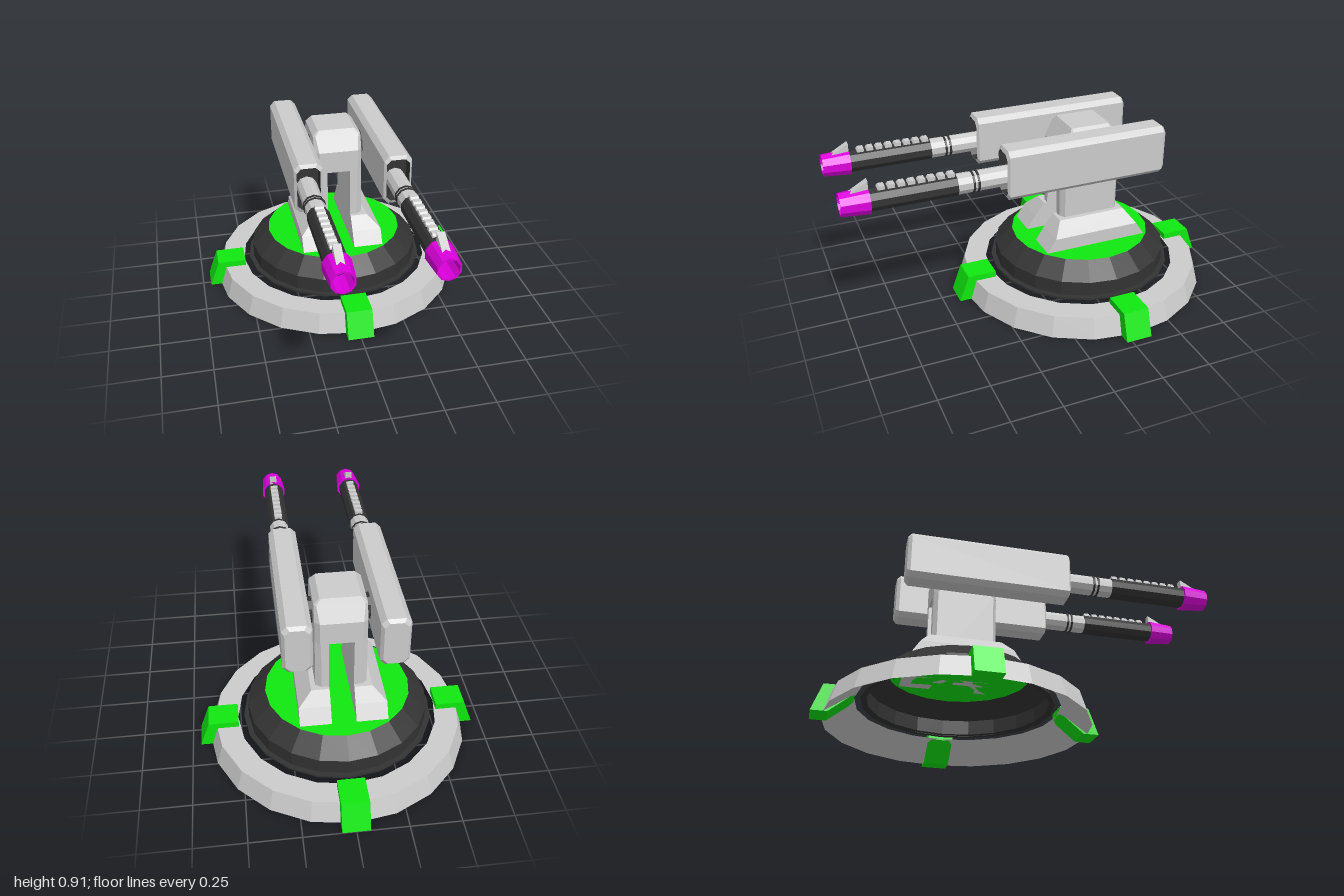
import * as THREE from 'three';

const mat = (color) => new THREE.MeshStandardMaterial({ color, flatShading: true, side: THREE.DoubleSide });
const grey = mat(0xcccccc), dark = mat(0x333333), green = mat(0x10e810), magenta = mat(0xdd00dd);
const CZ = -0.29; // z of the turret axis

function add(parent, name, geometry, material, x = 0, y = 0, z = 0) {
  const mesh = new THREE.Mesh(geometry, material);
  mesh.name = name;
  mesh.position.set(x, y, z);
  parent.add(mesh);
  return mesh;
}

const lathe = (points, sides) =>
  new THREE.LatheGeometry(points.map(([r, y]) => new THREE.Vector2(r, y)), sides);

// Lathe lying along z: points are [radius, z]
const latheZ = (points, sides) => lathe(points, sides).rotateX(Math.PI / 2);

// Counter-clockwise rectangle with half sizes a, b and corners cut by c
function loop(a, b, c = 0) {
  if (!c) return [[-a, -b], [a, -b], [a, b], [-a, b]];
  return [[-a + c, -b], [a - c, -b], [a, -b + c], [a, b - c],
    [a - c, b], [-a + c, b], [-a, b - c], [-a, -b + c]];
}
const atZ = (pts, z) => pts.map(([x, y]) => [x, y, z]);
const atY = (pts, y, dx = 0) => pts.map(([z, x]) => [x + dx, y, z]);

// Skin over a stack of loops, with optional end caps
function loft(rings, capStart = true, capEnd = true) {
  const n = rings[0].length, index = [];
  for (let r = 0; r < rings.length - 1; r++) {
    for (let i = 0; i < n; i++) {
      const a = r * n + i, b = r * n + (i + 1) % n;
      index.push(a, b, b + n, a, b + n, a + n);
    }
  }
  const last = (rings.length - 1) * n;
  for (let i = 1; i < n - 1; i++) {
    if (capStart) index.push(0, i + 1, i);
    if (capEnd) index.push(last, last + i, last + i + 1);
  }
  const g = new THREE.BufferGeometry();
  g.setAttribute('position', new THREE.Float32BufferAttribute(rings.flat(2), 3));
  g.setIndex(index);
  g.computeVertexNormals();
  return g;
}

// Profile in (u, y) extruded to a width, centred
function slab(points, width) {
  const shape = new THREE.Shape(points.map(([u, y]) => new THREE.Vector2(u, y)));
  return new THREE.ExtrudeGeometry(shape, { depth: width, bevelEnabled: false }).translate(0, 0, -width / 2);
}

function createBase() {
  const base = new THREE.Group();
  base.name = 'base';
  // Outer ring with a sloped underside
  add(base, 'groundRing', lathe([[0.51, 0.105], [0.66, 0], [0.628, 0.105], [0.51, 0.105]], 20), grey);
  // Four clamps over the ring
  const profile = [[0.51, 0.1], [0.63, 0], [0.71, 0], [0.66, 0.137], [0.51, 0.137]];
  for (let k = 0; k < 4; k++) {
    add(base, 'ringClamp', slab(profile, 0.134), green).rotation.y = k * Math.PI / 2;
  }
  // Hollow turntable and its deck
  add(base, 'turntable', lathe([[0.455, 0.107], [0.48, 0.107], [0.48, 0.118], [0.455, 0.118],
    [0.455, 0.195], [0.365, 0.275]], 20), dark);
  add(base, 'deck', lathe([[0.365, 0.275], [0, 0.275]], 20), green);
  return base;
}

function createColumn() {
  const column = new THREE.Group();
  column.name = 'column';
  for (const s of [-1, 1]) {
    // Tapered foot
    add(column, 'foot', loft([
      atY(loop(0.278, 0.0775), 0.275, s * 0.1375),
      atY(loop(0.231, 0.0775), 0.347, s * 0.1375),
      atY(loop(0.182, 0.0445), 0.415, s * 0.1045)]), grey);
    // Leg, chamfered on its outer corners
    const legLoop = [[-0.163, 0.06], [0.163, 0.06], [0.163, 0.097], [0.143, 0.125], [-0.143, 0.125], [-0.163, 0.097]]
      .map(([z, x]) => [z, s * x]);
    if (s < 0) legLoop.reverse();
    add(column, 'leg', loft([atY(legLoop, 0.275), atY(legLoop, 0.675)]), grey);
  }
  // Head bridging the legs
  add(column, 'head', loft([
    atY(loop(0.163, 0.125, 0.024), 0.675),
    atY(loop(0.163, 0.125, 0.024), 0.79),
    atY(loop(0.119, 0.125, 0.012), 0.865),
    atY(loop(0.103, 0.097, 0.006), 0.893)]), grey);
  add(column, 'axle', new THREE.CylinderGeometry(0.066, 0.066, 0.34, 10).rotateZ(Math.PI / 2), dark, 0, 0.762, 0);
  return column;
}

function createGun(side) {
  const gun = new THREE.Group();
  gun.name = side > 0 ? 'leftGun' : 'rightGun';
  gun.position.set(side * 0.219, 0, 0);
  const Y = 0.767;

  // Housing with a bevelled back and an open front
  const outer = loop(0.069, 0.126, 0.025), inner = loop(0.057, 0.108, 0.022);
  add(gun, 'housing', loft([atZ(loop(0.055, 0.112, 0.023), -0.617), atZ(outer, -0.6),
    atZ(outer, 0.215), atZ(inner, 0.225)], true, false), grey, 0, 0.782, 0);
  add(gun, 'housingRecess', loft([atZ(inner, 0.225), atZ(inner, 0.16)], false, true), dark, 0, 0.782, 0);

  // Barrel sections
  add(gun, 'barrelRoot', latheZ([[0.05, 0.15], [0.05, 0.46]], 10), grey, 0, Y, 0);
  for (const z of [0.36, 0.383]) {
    add(gun, 'barrelBand', latheZ([[0.05, z - 0.005], [0.054, z - 0.005], [0.054, z + 0.005], [0.05, z + 0.005]], 10), dark, 0, Y, 0);
  }
  add(gun, 'barrel', latheZ([[0.045, 0.46], [0.054, 0.46], [0.054, 0.87]], 10), dark, 0, Y, 0);

  // Row of teeth along the top
  const tooth = slab([[0, 0.8], [0.034, 0.8], [0.034, 0.823], [0.026, 0.833], [0, 0.833]], 0.04).rotateY(-Math.PI / 2);
  for (let i = 0; i < 8; i++) add(gun, 'tooth', tooth, grey, 0, 0, 0.468 + i * 0.0465);

  // Flared muzzle with an open tip
  add(gun, 'muzzle', latheZ([[0.05, 0.867], [0.066, 0.867], [0.055, 1], [0.047, 1], [0.047, 0.875]], 10), magenta, 0, Y, 0);
  add(gun, 'bore', latheZ([[0.05, 0.88], [0, 0.88]], 10), side > 0 ? grey : dark, 0, Y, 0);
  add(gun, 'sight', slab([[0.867, 0.815], [0.96, 0.815], [0.867, 0.868]], 0.036).rotateY(-Math.PI / 2), grey);
  return gun;
}

export function createModel() {
  const model = new THREE.Group();
  model.name = 'turret';
  const base = createBase(), column = createColumn();
  base.position.z = column.position.z = CZ;
  model.add(base, column, createGun(1), createGun(-1));
  return model;
}
